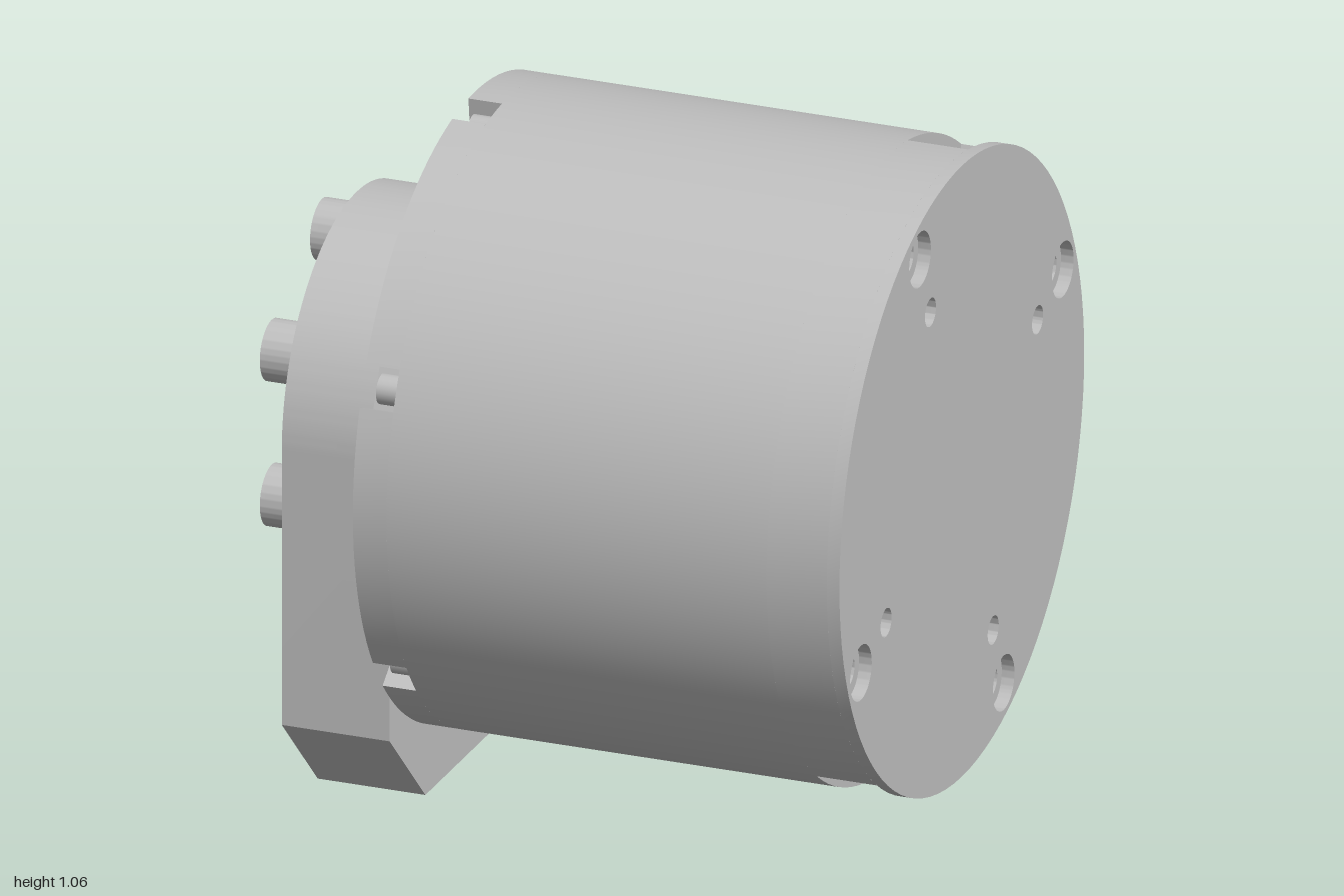
import * as THREE from 'three';
import { toCreasedNormals } from 'three/addons/utils/BufferGeometryUtils.js';

const rad = THREE.MathUtils.degToRad;
const MOTOR_Y = 0.575, MOTOR_Z = 0.515, R = 0.485;
const RING_X = -0.153, RING_Z = -0.515;

const metal = new THREE.MeshStandardMaterial({ color: 0xc0c0c0 });
metal.name = 'light grey metal';

function mesh(name, geometry, parent) {
  const m = new THREE.Mesh(geometry, metal);
  m.name = name;
  parent.add(m);
  return m;
}

function circle(x, y, r) {
  return new THREE.Path().absarc(x, y, r, 0, Math.PI * 2, false);
}

function extrude(shape, depth) {
  const g = new THREE.ExtrudeGeometry(shape, { depth, bevelEnabled: false, curveSegments: 48 });
  return toCreasedNormals(g, 0.4);
}

// Side profiles use (-z, y) and run along x; plan profiles use (x, -z) and run up y
const alongX = (shape, x0, x1) => extrude(shape, x1 - x0).rotateY(Math.PI / 2).translate(x0, 0, 0);
const alongY = (shape, y0, y1) => extrude(shape, y1 - y0).rotateX(-Math.PI / 2).translate(0, y0, 0);
const polar = (deg, r) => [-Math.cos(rad(deg)) * r, Math.sin(rad(deg)) * r];

// Disc outline with flat-bottomed notches cut into the rim, sorted by angle
function notchedDisc(notches) {
  const pts = [];
  const add = (t, r) => pts.push(new THREE.Vector2(...polar(t, r)));
  notches.forEach((n, i) => {
    const next = notches[(i + 1) % notches.length];
    const a = THREE.MathUtils.radToDeg(Math.asin(n.half / R));
    const floorA = THREE.MathUtils.radToDeg(Math.atan(n.half / n.floor));
    const floorR = Math.hypot(n.half, n.floor);
    add(n.angle - floorA, floorR);
    add(n.angle + floorA, floorR);
    const start = n.angle + a;
    const end = next.angle + (i === notches.length - 1 ? 360 : 0)
      - THREE.MathUtils.radToDeg(Math.asin(next.half / R));
    const steps = Math.ceil((end - start) / 3);
    for (let k = 0; k <= steps; k++) add(start + (end - start) * k / steps, R);
  });
  return new THREE.Shape(pts);
}

// Group whose local y points radially outward from the motor axis
function radialGroup(name, deg, parent) {
  const g = new THREE.Group();
  g.name = name;
  g.rotation.x = rad(90 - deg);
  parent.add(g);
  return g;
}

function buildMotor() {
  const motor = new THREE.Group();
  motor.name = 'motor';
  motor.position.set(0, MOTOR_Y, MOTOR_Z);

  // Rear rim with six screw notches and small holes between them
  const rimAngles = [23, 83, 143, 203, 263, 323];
  const rim = notchedDisc(rimAngles.map(angle => ({ angle, half: 0.032, floor: 0.425 })));
  for (const a of rimAngles) rim.holes.push(circle(...polar(a + 30, 0.43), 0.018));
  mesh('rearRim', alongX(rim, -0.133, -0.08), motor);
  for (const a of rimAngles) {
    const g = radialGroup('rimScrew', a, motor);
    mesh('rimScrewHead', new THREE.CylinderGeometry(0.023, 0.023, 0.035, 20)
      .rotateZ(Math.PI / 2).translate(-0.0975, 0.452, 0), g);
  }

  // Plain housing
  mesh('housing', new THREE.CylinderGeometry(R, R, 0.6, 120, 1).rotateZ(Math.PI / 2)
    .translate(0.22, 0, 0), motor);

  // Band with connector pockets
  const pockets = [
    { angle: 112.5, half: 0.115, floor: 0.405 },
    { angle: 202.5, half: 0.055, floor: 0.42 },
    { angle: 292.5, half: 0.115, floor: 0.405 },
  ];
  const band = notchedDisc(pockets);
  const cover = new THREE.Shape().absarc(0, 0, R, 0, Math.PI * 2, false);
  for (const a of [67.5, 157.5, 247.5, 337.5]) {
    band.holes.push(circle(...polar(a, 0.433), 0.025));
    cover.holes.push(circle(...polar(a, 0.433), 0.043));
    cover.holes.push(circle(...polar(a, 0.325), 0.022));
  }
  mesh('connectorBand', alongX(band, 0.52, 0.615), motor);
  mesh('endCover', alongX(cover, 0.615, 0.635), motor);

  // Open sockets with pins inside each pocket
  for (const p of pockets) {
    const g = radialGroup('connector', p.angle, motor);
    const centres = p.half > 0.1 ? [-0.056, 0.056] : [0];
    for (const c of centres) {
      const w = 0.036, h = 0.047;
      const rect = (C, x, z) => {
        const s = new C();
        s.moveTo(0.5675 - x, c - z).lineTo(0.5675 + x, c - z);
        s.lineTo(0.5675 + x, c + z).lineTo(0.5675 - x, c + z).closePath();
        return s;
      };
      const frame = rect(THREE.Shape, w, h);
      frame.holes.push(rect(THREE.Path, w - 0.011, h - 0.011));
      mesh('socket', alongY(frame, p.floor, 0.462), g);
      for (const dz of [-0.02, 0, 0.02]) {
        mesh('pin', new THREE.BoxGeometry(0.01, 0.035, 0.008)
          .translate(0.5675, p.floor + 0.0175, -c + dz), g);
      }
    }
  }
  return motor;
}

function buildBracket() {
  const bracket = new THREE.Group();
  bracket.name = 'bracket';
  const bolts = [];
  for (const sx of [-1, 1]) for (const sz of [-1, 1]) bolts.push([RING_X + sx * 0.23, RING_Z + sz * 0.23]);

  // Mounting ring with a short tab into the neck; lower layer holds the counterbores
  const ring = boreRadius => {
    const s = new THREE.Shape();
    s.absarc(RING_X, -RING_Z, R, rad(-78), rad(239.4), false);
    s.lineTo(-0.365, 0.02).lineTo(-0.07, 0.02).closePath();
    s.holes.push(circle(RING_X, -RING_Z, 0.205));
    if (boreRadius) for (const [x, z] of bolts) s.holes.push(circle(x, -z, boreRadius));
    return s;
  };
  mesh('ringLower', alongY(ring(0.057), 0, 0.08), bracket);
  mesh('ringUpper', alongY(ring(0), 0.08, 0.255), bracket);

  // Ring screws: pins above, hollow heads below
  for (const [x, z] of bolts) {
    mesh('ringPin', new THREE.CylinderGeometry(0.025, 0.025, 0.11, 24).translate(x, 0.305, z), bracket);
    const head = new THREE.Shape().absarc(x, -z, 0.045, 0, Math.PI * 2, false);
    head.holes.push(hexagon(x, -z, 0.026));
    mesh('ringScrewHead', alongY(head, 0.015, 0.08), bracket);
  }

  // Arm plate: rounded top, sloping back, chamfered toe
  const slope = Math.tan(rad(59.4));
  const arm = new THREE.Shape();
  arm.moveTo(0.02, 0).lineTo(0.02, 0.255);
  arm.absarc(-MOTOR_Z, MOTOR_Y, 0.297, rad(30.6), rad(180), false);
  arm.lineTo(-0.812, 0.14).lineTo(-0.67, 0).closePath();
  mesh('armPlate', alongX(arm, -0.32, -0.15), bracket);

  // Flared neck: its top follows the slope of the arm
  const neck = new THREE.Shape([
    [-0.365, 0.02], [-0.32, -0.08], [-0.15, -0.08], [-0.15, -0.06],
    [-0.137, -0.028], [-0.108, 0], [-0.07, 0.02],
  ].map(p => new THREE.Vector2(...p)));
  const g = new THREE.ExtrudeGeometry(neck, { depth: 1, bevelEnabled: false }).rotateX(-Math.PI / 2);
  const pos = g.attributes.position;
  for (let i = 0; i < pos.count; i++) {
    if (pos.getY(i) > 0.5) pos.setY(i, 0.255 + (pos.getZ(i) + 0.02) * slope);
  }
  mesh('neck', toCreasedNormals(g, 0.6), bracket);

  // Output disc between the arm and the motor
  mesh('outputDisc', new THREE.CylinderGeometry(0.297, 0.297, 0.02, 80).rotateZ(Math.PI / 2)
    .translate(-0.142, MOTOR_Y, MOTOR_Z), bracket);

  // Six socket-head screws on the outer side of the arm
  for (let i = 0; i < 6; i++) {
    const [u, v] = polar(90 + i * 60, 0.23);
    const head = new THREE.Shape().absarc(u - MOTOR_Z, v + MOTOR_Y, 0.047, 0, Math.PI * 2, false);
    head.holes.push(hexagon(u - MOTOR_Z, v + MOTOR_Y, 0.026));
    mesh('armScrew', alongX(head, -0.375, -0.32), bracket);
  }
  return bracket;
}

function hexagon(x, y, r) {
  const pts = [];
  for (let i = 0; i < 6; i++) {
    pts.push(new THREE.Vector2(x + r * Math.cos(i * Math.PI / 3), y + r * Math.sin(i * Math.PI / 3)));
  }
  return new THREE.Path(pts);
}

export function createModel() {
  const model = new THREE.Group();
  model.name = 'motorOnBracket';
  model.add(buildBracket(), buildMotor());
  return model;
}
